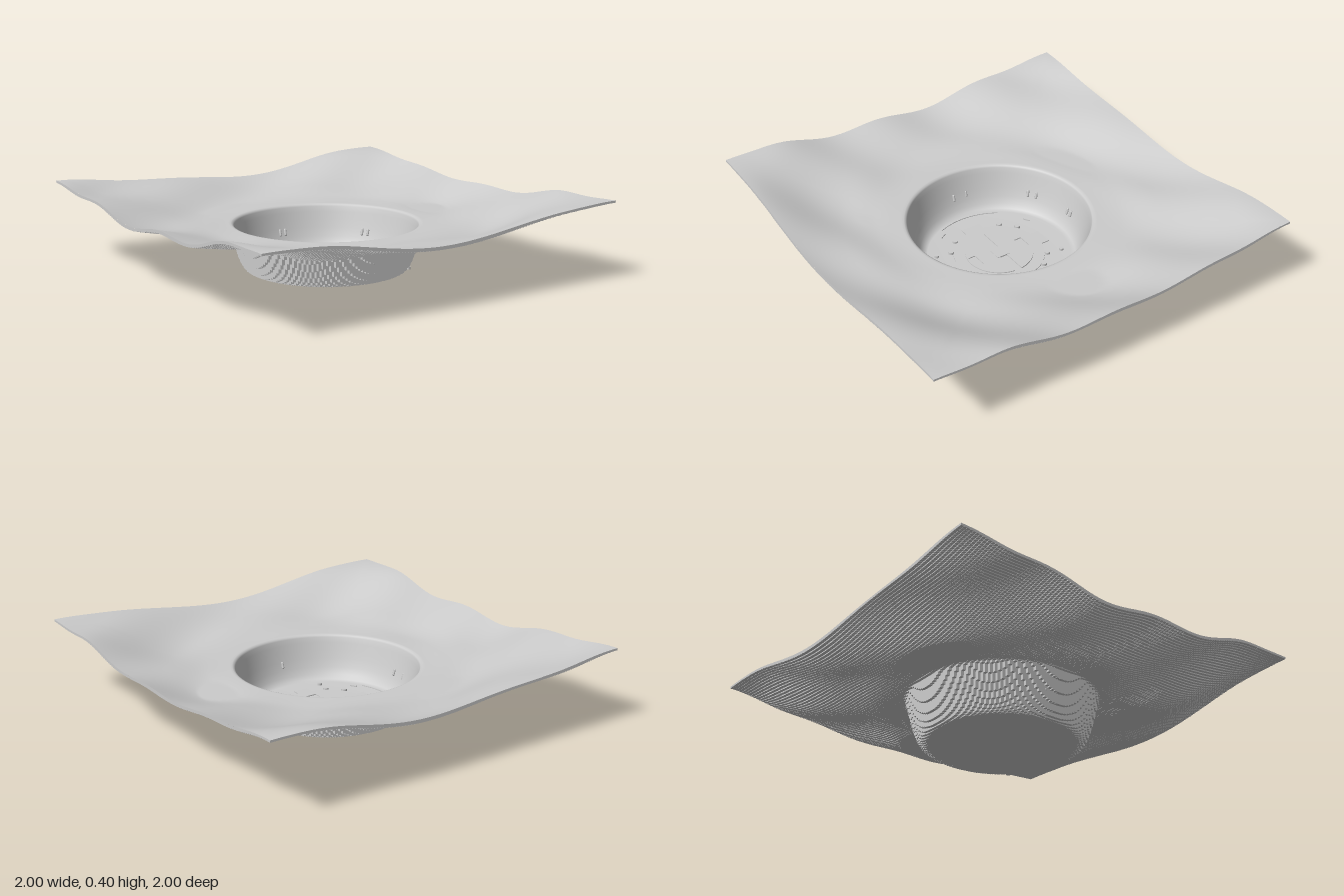
import * as THREE from 'three';

const FLOOR = 0.01, RIM = 0.465, BASE = 0.24, THICK = 0.01;
const smooth = (r, a, b) => THREE.MathUtils.smoothstep(r, a, b);

// Pit wall, from the floor up to the rim: [radius, height]
const WALL = [[0, FLOOR], [0.2, FLOOR], [0.365, FLOOR], [0.385, 0.018], [0.402, 0.04], [0.418, 0.075],
  [0.432, 0.12], [0.444, 0.165], [0.453, 0.2], [0.46, 0.227], [RIM, 0.236], [0.475, BASE]];

// Height of the ground sheet: pit, then a shallow rippled bowl rising to the corners
function height(x, z) {
  const r = Math.hypot(x, z);
  for (let i = 1; i < WALL.length; i++) {
    const [r0, y0] = WALL[i - 1], [r1, y1] = WALL[i];
    if (r <= r1) return y0 + (y1 - y0) * (r - r0) / (r1 - r0);
  }
  const bowl = 0.16 * smooth(r, 0.6, 1.4);
  const ripple = 0.011 * Math.sin(6.5 * x + 11 * z + 0.6) + 0.007 * Math.sin(5 * x - 9 * z + 1.2)
    + 0.006 * Math.sin(7 * x + 2 * z);
  const fade = smooth(r, 0.475, 0.8) * (1 - 0.7 * smooth(r, 1.15, 1.4));
  return THREE.MathUtils.clamp(BASE + bowl + ripple * fade, 0.236, 0.41);
}

// Smooth upper surface: rings that blend from the round pit to the square border
function topSurface() {
  const N = 192, OUT = 56, pos = [], idx = [];
  const rows = WALL.length + OUT;
  for (let j = 0; j < rows; j++) {
    for (let i = 0; i < N; i++) {
      const a = i / N * Math.PI * 2, c = Math.cos(a), s = Math.sin(a);
      const edge = 1 / Math.max(Math.abs(c), Math.abs(s));
      const r = j < WALL.length ? WALL[j][0] : 0.475 + (edge - 0.475) * (j - WALL.length + 1) / OUT;
      pos.push(r * c, j < WALL.length ? WALL[j][1] : height(r * c, r * s), r * s);
      if (j < rows - 1) {
        const p = j * N + i, q = j * N + (i + 1) % N;
        idx.push(p, q, p + N, q, q + N, p + N);
      }
    }
  }
  const g = new THREE.BufferGeometry();
  g.setAttribute('position', new THREE.Float32BufferAttribute(pos, 3));
  g.setIndex(idx);
  g.computeVertexNormals();
  return g;
}

// Underside in small square steps, with upright faces between unequal cells
function steppedUnderside() {
  const N = 120, d = 2 / N, pos = [];
  const quad = (a, b, c, e) => pos.push(...a, ...b, ...c, ...a, ...c, ...e);
  const at = (i) => -1 + i * d;
  const cell = (i, k) => Math.min(height(at(i), at(k)), height(at(i + 1), at(k)),
    height(at(i), at(k + 1)), height(at(i + 1), at(k + 1))) - THICK;
  const inside = (i) => i >= 0 && i < N;
  for (let i = 0; i < N; i++) {
    for (let k = 0; k < N; k++) {
      const y = cell(i, k), x0 = at(i), x1 = at(i + 1), z0 = at(k), z1 = at(k + 1);
      quad([x0, y, z0], [x1, y, z0], [x1, y, z1], [x0, y, z1]);
      // side corners run left to right as seen from outside the cell
      const sides = [[1, 0, x1, z1, x1, z0], [-1, 0, x0, z0, x0, z1],
        [0, 1, x0, z1, x1, z1], [0, -1, x1, z0, x0, z0]];
      for (const [di, dk, ax, az, bx, bz] of sides) {
        const inner = inside(i + di) && inside(k + dk);
        const ta = inner ? cell(i + di, k + dk) : height(ax, az);
        const tb = inner ? ta : height(bx, bz);
        if (ta > y + 1e-5) quad([ax, y, az], [bx, y, bz], [bx, tb, bz], [ax, ta, az]);
      }
    }
  }
  const g = new THREE.BufferGeometry();
  g.setAttribute('position', new THREE.Float32BufferAttribute(pos, 3));
  g.computeVertexNormals();
  return g;
}

export function createModel() {
  const model = new THREE.Group();
  model.name = 'groundWithPit';
  const stone = new THREE.MeshStandardMaterial({ color: 0xcccccc });
  stone.name = 'paleGrey';

  const add = (name, geometry, x = 0, y = 0, z = 0, turn = 0) => {
    const m = new THREE.Mesh(geometry, stone);
    m.name = name;
    m.position.set(x, y, z);
    m.rotation.y = turn;
    model.add(m);
    return m;
  };
  const box = (name, w, h, l, x, z, turn = 0) =>
    add(name, new THREE.BoxGeometry(w, h, l), x, FLOOR + h / 2, z, turn);
  const plate = (shape, depth) => new THREE.ExtrudeGeometry(shape, { depth, bevelEnabled: false, curveSegments: 40 })
    .rotateX(-Math.PI / 2);

  add('groundTop', topSurface());
  add('groundUnderside', steppedUnderside());

  // Round base plate with four tabs
  add('basePlate', new THREE.CylinderGeometry(0.232, 0.232, 0.005, 64), 0, FLOOR + 0.0025, 0);
  box('leftTab', 0.045, 0.005, 0.11, 0.245, 0);
  box('rightTab', 0.045, 0.005, 0.11, -0.245, 0);
  box('backTab', 0.1, 0.005, 0.05, 0.005, -0.245);
  box('frontTab', 0.08, 0.005, 0.05, -0.02, 0.245);

  // Split hub: two half discs, each with a square notch
  const gap = Math.asin(0.02 / 0.173);
  for (const turn of [0, Math.PI]) {
    const half = new THREE.Shape();
    half.moveTo(0.173 * Math.cos(gap), 0.02);
    half.absarc(0, 0, 0.173, gap, Math.PI - gap, false);
    half.closePath();
    const notch = new THREE.Path();
    notch.moveTo(-0.04, 0.12).lineTo(-0.04, 0.16).lineTo(0.04, 0.16).lineTo(0.04, 0.12).closePath();
    half.holes.push(notch);
    add('hubHalf', plate(half, 0.01), 0, FLOOR, 0, turn);
  }
  box('hubBlock', 0.08, 0.012, 0.07, 0, 0);

  // Bolts around the base plate
  for (const sx of [-1, 1]) for (const sz of [-1, 1]) for (const [x, z] of [[0.135, 0.203], [0.203, 0.135]])
    add('bolt', new THREE.CylinderGeometry(0.015, 0.015, 0.012, 16), sx * x, FLOOR + 0.006, sz * z);

  // Outer studs and short bars on the floor
  for (const [x, z] of [[0.15, -0.28], [0.305, 0.28], [-0.15, 0.28], [0.28, 0.15]])
    add('floorStud', new THREE.CylinderGeometry(0.012, 0.012, 0.012, 12), x, FLOOR + 0.006, z);
  for (const [x, z] of [[0.28, -0.16], [0.16, 0.28], [-0.16, -0.28], [-0.28, 0.16]])
    box('floorBar', 0.035, 0.006, 0.006, x, z, Math.atan2(x, z));

  // Thin curved lip along the right of the floor
  const lip = new THREE.Shape();
  lip.absarc(0, 0, 0.357, Math.PI * 0.82, Math.PI * 1.13, false);
  lip.absarc(0, 0, 0.352, Math.PI * 1.13, Math.PI * 0.82, true);
  add('floorLip', plate(lip, 0.004), 0, FLOOR, 0);

  // Upright studs set in the pit wall
  for (const [x, z] of [[0, -0.425], [0.03, -0.424], [0.385, -0.175], [0.37, -0.205], [-0.425, 0],
    [-0.425, -0.075], [-0.245, -0.347], [-0.205, -0.372], [-0.015, 0.425]]) {
    const stud = add('wallStud', new THREE.CapsuleGeometry(0.007, 0.025, 3, 8), x, 0.105, z);
    stud.rotation.set(0.28 * z / 0.425, 0, -0.28 * x / 0.425);
  }
  return model;
}
